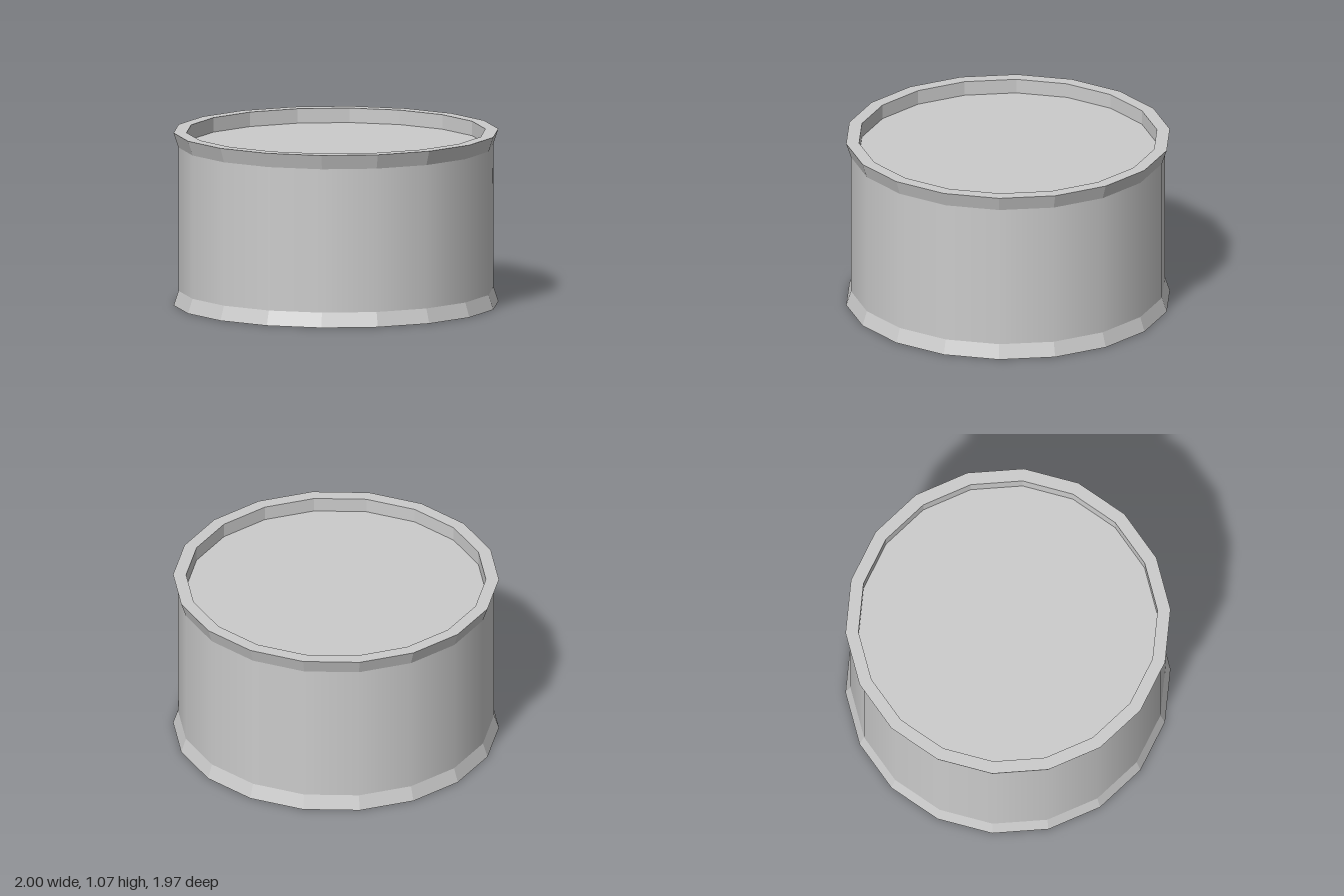
import * as THREE from 'three';

const SIDES = 18;
const HEIGHT = 1.07;
const RIM_HEIGHT = 0.09;
const BODY_RADIUS = 0.97;
const RIM_OUTER = 1;
const RIM_INNER = 0.92;
const START = Math.PI / 2; // puts a corner on the x axis

export function createModel() {
  const group = new THREE.Group();
  group.name = 'drum';
  const smooth = new THREE.MeshStandardMaterial({ color: 0xcccccc });
  const faceted = new THREE.MeshStandardMaterial({ color: 0xcccccc, flatShading: true });

  const add = (name, geometry, material) => {
    const mesh = new THREE.Mesh(geometry, material);
    mesh.name = name;
    group.add(mesh);
    return mesh;
  };

  // smooth wall; its end caps are the recessed top and bottom discs
  const bodyHeight = HEIGHT - 2 * RIM_HEIGHT;
  add('body', new THREE.CylinderGeometry(BODY_RADIUS, BODY_RADIUS, bodyHeight, SIDES, 1, false, START), smooth)
    .position.y = HEIGHT / 2;

  // flared faceted ring: sloped outside, flat edge, straight inner wall
  const rim = (name, bodyY, edgeY) => {
    const profile = [
      new THREE.Vector2(BODY_RADIUS, bodyY),
      new THREE.Vector2(RIM_OUTER, edgeY),
      new THREE.Vector2(RIM_INNER, edgeY),
      new THREE.Vector2(RIM_INNER, bodyY),
    ];
    if (edgeY < bodyY) profile.reverse(); // keeps the faces pointing outwards
    const geometry = new THREE.LatheGeometry(profile, SIDES, START).toNonIndexed();
    geometry.computeVertexNormals();
    add(name, geometry, faceted);
  };
  rim('topRim', HEIGHT - RIM_HEIGHT, HEIGHT);
  rim('bottomRim', RIM_HEIGHT, 0);

  return group;
}
